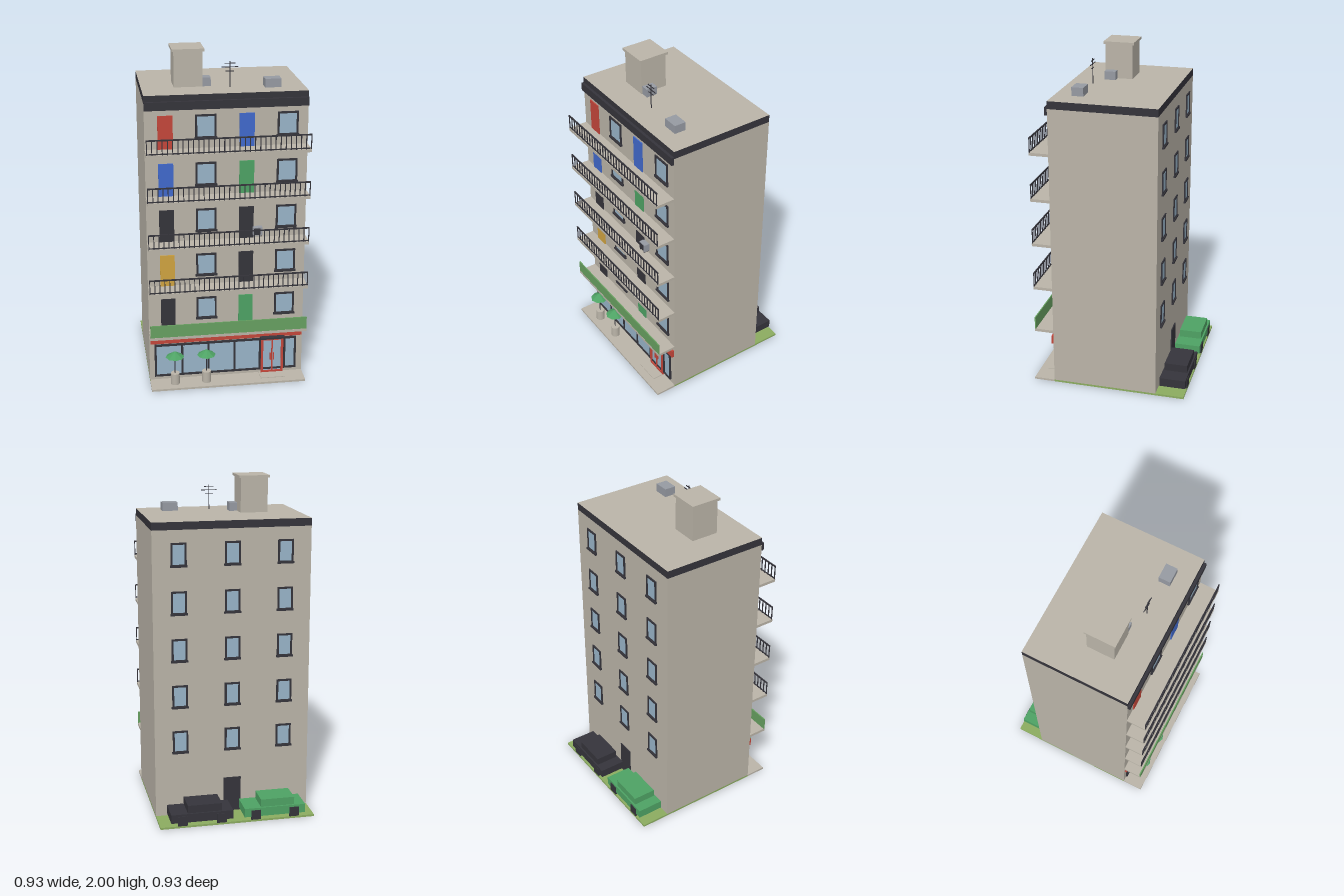
import * as THREE from 'three';

const paint = (name, color) => {
  const m = new THREE.MeshStandardMaterial({ color });
  m.name = name;
  return m;
};

export function createModel() {
  const stone = paint('stone', 0xbab4a8);
  const dark = paint('charcoal', 0x35343b);
  const glass = paint('glass', 0x98b4c8);
  const red = paint('red', 0xc4463a);
  const green = paint('green', 0x4ea264);
  const grass = paint('grass', 0x8bac60);
  const blue = paint('blue', 0x4169cc);
  const yellow = paint('yellow', 0xcfa340);
  const grey = paint('metal grey', 0x969aa2);
  const leaf = paint('balcony green', 0x67a060);

  const root = new THREE.Group();
  root.name = 'apartmentBuilding';

  const group = (name, parent = root) => {
    const g = new THREE.Group();
    g.name = name;
    parent.add(g);
    return g;
  };
  // Box given by its low and high corners
  const box = (name, mat, [x0, y0, z0], [x1, y1, z1], parent = root) => {
    const m = new THREE.Mesh(new THREE.BoxGeometry(x1 - x0, y1 - y0, z1 - z0), mat);
    m.position.set((x0 + x1) / 2, (y0 + y1) / 2, (z0 + z1) / 2);
    m.name = name;
    parent.add(m);
    return m;
  };
  // Rectangular frame, outer size w x h, bar width t, depth d, base on z = 0
  const frame = (name, mat, w, h, t, d, parent) => {
    const rect = (P, a, b) => new P([[-a, -b], [a, -b], [a, b], [-a, b]].map(p => new THREE.Vector2(...p)));
    const s = rect(THREE.Shape, w / 2, h / 2);
    s.holes.push(rect(THREE.Path, w / 2 - t, h / 2 - t));
    const m = new THREE.Mesh(new THREE.ExtrudeGeometry(s, { depth: d, bevelEnabled: false }), mat);
    m.name = name;
    parent.add(m);
    return m;
  };
  const windowUnit = (name, w, h, parent) => {
    const g = group(name, parent);
    frame('windowFrame', dark, w, h, 0.011, 0.007, g);
    box('windowPane', glass, [-w / 2 + 0.005, -h / 2 + 0.005, 0], [w / 2 - 0.005, h / 2 - 0.005, 0.003], g);
    box('windowSill', dark, [-w / 2 - 0.004, -h / 2 - 0.005, 0], [w / 2 + 0.004, -h / 2 + 0.007, 0.012], g);
    return g;
  };

  const W = 0.467, F = 0.34, B = -0.295;

  // Ground
  box('lawn', grass, [-W, 0, -W], [W, 0.012, F], root);
  box('pavement', stone, [-W, 0, F], [W, 0.012, W], root);
  box('doorStep', stone, [0.2, 0.001, F], [0.35, 0.016, 0.42], root);

  // Main block and roof edge
  box('walls', stone, [-W, 0.012, B], [W, 1.735, F]);
  box('roof', [dark, dark, stone, dark, dark, dark], [-W, 1.735, B], [W, 1.78, F]);
  box('frontCornice', dark, [-W, 1.697, F], [W, 1.745, 0.356]);

  // Five floors: doors, windows and balcony on the front, windows on the back
  const doorColors = [[dark, green], [yellow, dark], [dark, dark], [blue, green], [red, blue]];
  doorColors.forEach((pair, i) => {
    const floor = group('floor' + (i + 1));
    floor.position.y = 0.35 + i * 0.28;
    [-0.35, 0.115].forEach((x, k) =>
      box('balconyDoor', pair[k], [x - 0.043, 0, F], [x + 0.043, 0.194, F + 0.006], floor));
    [-0.12, 0.35].forEach(x => {
      windowUnit('frontWindow', 0.12, 0.138, floor).position.set(x, 0.126, F);
    });
    [-0.314, 0, 0.314].forEach(x => {
      const win = windowUnit('backWindow', 0.092, 0.136, floor);
      win.position.set(x, 0.124, B);
      win.rotation.y = Math.PI;
    });

    box('balconySlab', stone, [-W, -0.017, F], [W, 0, 0.457], floor);
    if (i === 0) {
      box('balconyPanel', leaf, [-W, 0, 0.449], [W, 0.076, 0.456], floor);
    } else {
      const rail = group('railing', floor);
      box('topRail', dark, [-W, 0.081, 0.449], [W, 0.089, 0.456], rail);
      box('bottomRail', dark, [-W, 0.003, 0.45], [W, 0.009, 0.455], rail);
      const n = 32;
      for (let k = 0; k <= n; k++) {
        const x = -0.464 + k * 0.928 / n;
        box('railBar', dark, [x - 0.0025, 0, 0.45], [x + 0.0025, 0.083, 0.455], rail);
      }
    }
  });

  // Wall air conditioner
  const cooler = group('wallCooler');
  box('coolerCase', grey, [0.152, 0.932, F], [0.207, 0.98, 0.373], cooler);
  box('coolerGrille', dark, [0.157, 0.937, 0.373], [0.195, 0.975, 0.376], cooler);
  [0.158, 0.196].forEach(x => box('coolerBracket', dark, [x, 0.924, F], [x + 0.005, 0.932, 0.374], cooler));

  // Shop front
  const shop = group('shopFront');
  box('shopSign', red, [-0.46, 0.257, F], [0.46, 0.31, 0.355], shop);
  box('shopGlass', glass, [-0.43, 0.04, F], [0.425, 0.24, F + 0.004], shop);
  box('shopFrameTop', dark, [-0.437, 0.235, F], [0.43, 0.247, 0.35], shop);
  box('shopFrameBottom', dark, [-0.437, 0.034, F], [0.43, 0.046, 0.35], shop);
  [-0.431, -0.27, -0.11, 0.05, 0.206, 0.358, 0.424].forEach(x =>
    box('shopMullion', dark, [x - 0.006, 0.034, F], [x + 0.006, 0.247, 0.35], shop));
  box('doorCanopy', dark, [0.205, 0.254, F], [0.352, 0.264, 0.385], shop);

  // Shop door
  const door = group('shopDoor', shop);
  box('doorGlass', glass, [0.215, 0.014, F], [0.347, 0.24, 0.346], door);
  frame('doorFrame', red, 0.138, 0.234, 0.014, 0.014, door).position.set(0.281, 0.129, F);
  box('doorStile', red, [0.277, 0.014, F], [0.285, 0.24, 0.353], door);
  [0.268, 0.288].forEach(x => box('doorHandle', red, [x, 0.1, 0.346], [x + 0.006, 0.145, 0.357], door));

  // Back door
  box('backDoor', dark, [-0.052, 0.012, B - 0.007], [0.052, 0.225, B]);

  // Barrel tables with parasols
  [-0.32, -0.13].forEach(x => {
    const g = group('parasolTable');
    g.position.set(x, 0, 0.403);
    const add = (name, geo, mat, y) => {
      const m = new THREE.Mesh(geo, mat);
      m.name = name;
      m.position.y = y;
      g.add(m);
    };
    add('barrel', new THREE.CylinderGeometry(0.027, 0.027, 0.071, 16), stone, 0.0475);
    add('pole', new THREE.CylinderGeometry(0.003, 0.003, 0.13, 8), dark, 0.145);
    const canopy = new THREE.ConeGeometry(0.056, 0.036, 8).toNonIndexed();
    canopy.computeVertexNormals();
    add('canopy', canopy, green, 0.209);
  });

  // Parked cars
  const car = (name, mat, x) => {
    const g = group(name);
    g.position.x = x;
    box('carBody', mat, [-0.186, 0.03, -0.463], [0.186, 0.083, -0.304], g);
    box('carCabin', mat, [-0.12, 0.083, -0.453], [0.085, 0.13, -0.313], g);
    [-0.117, 0.117].forEach(wx => [-0.467, -0.312].forEach(z =>
      box('wheel', dark, [wx - 0.029, 0.012, z], [wx + 0.029, 0.07, z + 0.012], g)));
  };
  car('greenCar', green, -0.226);
  car('darkCar', dark, 0.216);

  // Roof stair house, cooling units and aerial
  box('roofHouse', stone, [-0.28, 1.78, 0], [-0.115, 1.985, 0.165]);
  box('roofHouseCap', stone, [-0.29, 1.985, -0.01], [-0.105, 2, 0.175]);
  box('smallRoofUnit', grey, [-0.115, 1.78, 0.092], [-0.067, 1.83, 0.16]);
  box('largeRoofUnit', grey, [0.235, 1.78, 0.17], [0.328, 1.83, 0.24]);
  const aerial = group('aerial');
  box('aerialMast', dark, [0.0355, 1.78, 0.198], [0.0395, 1.93, 0.202], aerial);
  [[1.873, 0.024], [1.897, 0.047], [1.918, 0.03]].forEach(([y, r]) =>
    box('aerialBar', dark, [0.0375 - r, y - 0.002, 0.198], [0.0375 + r, y + 0.002, 0.202], aerial));

  return root;
}
